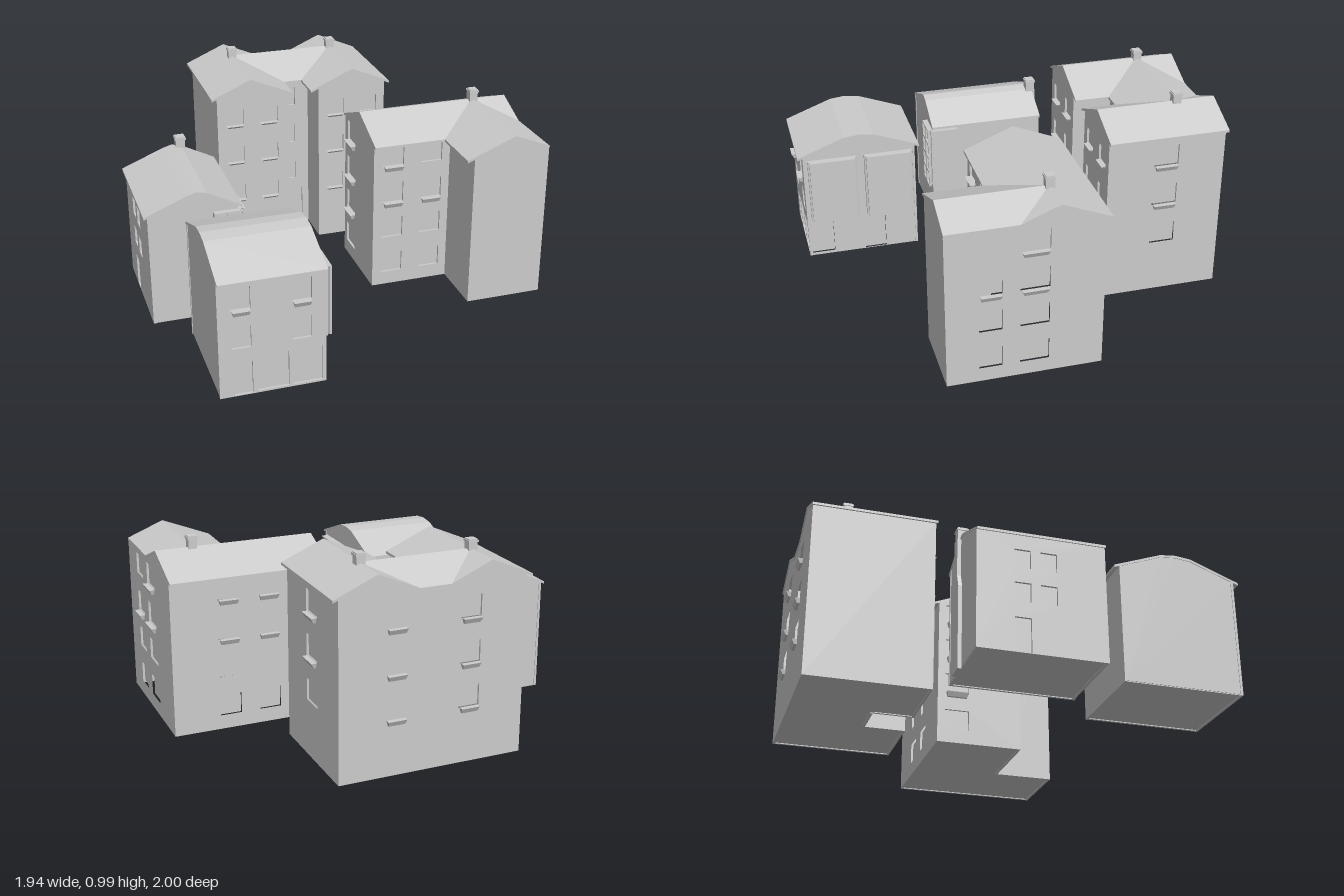
import * as THREE from 'three';

const grey = new THREE.MeshStandardMaterial({ color: 0xcccccc, flatShading: true });
const RECESS = 0.012;

function add(parent, name, geometry, x = 0, y = 0, z = 0) {
  const mesh = new THREE.Mesh(geometry, grey);
  mesh.name = name;
  mesh.position.set(x, y, z);
  parent.add(mesh);
  return mesh;
}

function group(parent, name) {
  const g = new THREE.Group();
  g.name = name;
  parent.add(g);
  return g;
}

const outline = (pts) => new THREE.Shape(pts.map(([a, b]) => new THREE.Vector2(a, b)));
const rectPts = (a, y, w, h) => [[a - w / 2, y], [a + w / 2, y], [a + w / 2, y + h], [a - w / 2, y + h]];

// Columns x rows of openings; sill(col, row): 0 none, 1 bracket, 2 thin ledge
function grid(cols, rows, w, h, sill = () => 0) {
  return cols.flatMap((a, i) => rows.map((y, j) => ({ a, y, w, h, sill: sill(i, j) })));
}

// Wall facing '+z', '+x', '-z' or '-x' at a world coordinate, with recessed openings.
// Outline points are [coordinate along the wall, height].
const TURN = { '+z': 0, '+x': Math.PI / 2, '-z': Math.PI, '-x': -Math.PI / 2 };
function wall(parent, name, facing, at, pts, openings = []) {
  const s = facing === '+z' || facing === '-x' ? 1 : -1;
  const d = facing[0] === '+' ? at : -at;
  const flip = (list) => list.map(([a, y]) => [s * a, y]);
  const g = group(parent, name);
  g.rotation.y = TURN[facing];
  const shape = outline(flip(pts));
  const rects = openings.map((o) => flip(rectPts(o.a, o.y, o.w, o.h)));
  shape.holes = rects.map(outline);
  add(g, 'wallPanel', new THREE.ExtrudeGeometry(shape, { depth: RECESS, bevelEnabled: false }), 0, 0, d - RECESS);
  // panes behind the openings (extruded, so their winding is always right)
  if (rects.length) {
    const panes = new THREE.ExtrudeGeometry(rects.map(outline), { depth: 0.003, bevelEnabled: false });
    add(g, 'panes', panes, 0, 0, d - RECESS - 0.002);
  }
  for (const o of openings) {
    if (!o.sill) continue;
    const h = o.sill === 1 ? 0.024 : 0.01;
    const out = o.sill === 1 ? 0.025 : 0.018;
    const geo = new THREE.BoxGeometry(o.w * 0.9, h, out).translate(0, -h / 2, out / 2);
    const p = geo.attributes.position;
    for (let i = 0; i < p.count; i++) {
      if (p.getY(i) < -h / 2) p.setXYZ(i, p.getX(i) * 0.88, p.getY(i), p.getZ(i) * 0.5);
    }
    add(g, 'windowSill', geo, s * o.a, o.y, d);
  }
  return g;
}

// Thin roof slabs, one per polygon of [x, z] with height(x, z)
function roof(parent, polygons, height, t = 0.012) {
  const pos = [];
  for (const poly of polygons) {
    let area = 0;
    poly.forEach(([x, z], i) => {
      const [x2, z2] = poly[(i + 1) % poly.length];
      area += x * z2 - x2 * z;
    });
    const top = (area > 0 ? [...poly].reverse() : poly).map(([x, z]) => [x, height(x, z), z]);
    const low = top.map(([x, y, z]) => [x, y - t, z]);
    const tri = (...v) => v.forEach((q) => pos.push(...q));
    for (let i = 1; i < top.length - 1; i++) {
      tri(top[0], top[i], top[i + 1]);
      tri(low[0], low[i + 1], low[i]);
    }
    top.forEach((a, i) => {
      const j = (i + 1) % top.length;
      tri(a, low[i], low[j]);
      tri(a, low[j], top[j]);
    });
  }
  const geo = new THREE.BufferGeometry();
  geo.setAttribute('position', new THREE.Float32BufferAttribute(pos, 3));
  geo.computeVertexNormals();
  add(parent, 'roof', geo);
}

function floor(parent, pts) {
  add(parent, 'floor', new THREE.ShapeGeometry(outline(pts)).rotateX(Math.PI / 2), 0, 0.004, 0);
}

// Square stack with a slightly wider cap
function chimney(parent, x, z, y0, y1, w = 0.042) {
  add(parent, 'chimney', new THREE.BoxGeometry(w, y1 - y0, w), x, (y0 + y1) / 2, z);
  add(parent, 'chimneyCap', new THREE.BoxGeometry(w + 0.008, 0.01, w + 0.008), x, y1 - 0.01, z);
}

// Glazed bay face: frame with a grid of panes
function bayFace(parent, facing, at, a0, a1, y0, y1, nc, nr) {
  const cw = (a1 - a0) / nc, rh = (y1 - y0) / nr, bar = 0.012;
  const cols = Array.from({ length: nc }, (_, i) => a0 + cw * (i + 0.5));
  const rows = Array.from({ length: nr }, (_, j) => y0 + rh * j + bar / 2);
  wall(parent, 'bayFrame', facing, at, [[a0, y0], [a1, y0], [a1, y1], [a0, y1]], grid(cols, rows, cw - bar, rh - bar));
}

// Bay body from a plan of [x, z]
function bayBody(parent, plan, y0, y1) {
  const geo = new THREE.ExtrudeGeometry(outline(plan), { depth: y1 - y0, bevelEnabled: false });
  add(parent, 'bayBody', geo.rotateX(Math.PI / 2), 0, y1, 0);
}

// Height along a profile of [coordinate, y]
function along(profile, a) {
  const i = Math.max(1, profile.findIndex(([p]) => p >= a));
  const [a0, y0] = profile[i - 1], [a1, y1] = profile[i];
  return y0 + ((y1 - y0) * (a - a0)) / (a1 - a0);
}
const under = 0.005;

function courtyardBlock(root) {
  const g = group(root, 'courtyardBlock');
  g.position.x = -0.013;
  const R = 0.943, k = 0.43, rx = 0.273, zr = -0.78, f = -0.38, b = -0.977;
  const h = (x, z) => {
    const wing = Math.abs(Math.abs(x) - rx);
    return R - k * (Math.abs(x) < rx ? Math.min(wing, Math.abs(z - zr)) : wing);
  };
  const half = [
    [[0.479, f], [rx, f], [rx, b], [0.479, b]],
    [[rx, f], [0.047, f], [0.047, -0.554], [rx, zr]],
    [[rx, zr], [rx - 0.197, b], [rx, b]],
  ];
  const mirrored = half.map((p) => p.map(([x, z]) => [-x, z]));
  roof(g, [...half, ...mirrored,
    [[-rx, zr], [-0.047, -0.554], [0.047, -0.554], [rx, zr]],
    [[-rx, zr], [rx, zr], [rx - 0.197, b], [-rx + 0.197, b]]], h);
  const W = 0.452, n = 0.09, zf = -0.383, zb = -0.972, zn = -0.58, side = 0.862, inner = 0.859;
  for (const s of [-1, 1]) {
    wall(g, 'wingFront', '+z', zf, [[s * n, 0], [s * W, 0], [s * W, side], [s * rx, R - under], [s * n, inner]],
      grid([s * 0.18, s * 0.36], [0.7, 0.495, 0.28], 0.095, 0.085, () => 2));
    wall(g, 'courtSide', s < 0 ? '+x' : '-x', s * n, [[zn, 0], [zf, 0], [zf, inner], [zn, inner]]);
    wall(g, 'sideWall', s < 0 ? '-x' : '+x', s * W, [[zb, 0], [zf, 0], [zf, side], [zb, side]],
      s > 0 ? grid([-0.675], [0.695, 0.485, 0.27], 0.125, 0.105, (i, j) => (j < 2 ? 1 : 0)) : []);
    chimney(g, s * rx, zr, 0.9, 0.988);
  }
  wall(g, 'courtBack', '+z', zn, [[-n, 0], [n, 0], [n, 0.852], [-n, 0.852]],
    [...grid([0], [0.7, 0.485, 0.27], 0.036, 0.1), { a: 0, y: 0.004, w: 0.11, h: 0.205 }]);
  wall(g, 'backWall', '-z', zb, [[-W, 0], [W, 0], [W, side], [rx, R - under], [0.081, 0.855], [-0.081, 0.855],
    [-rx, R - under], [-W, side]], grid([-0.18, 0.18], [0.692, 0.48, 0.27], 0.1, 0.1, () => 1));
  floor(g, [[-W, zb], [W, zb], [W, zf], [n, zf], [n, zn], [-n, zn], [-n, zf], [-W, zf]]);
}

function cornerBlock(root) {
  const g = group(root, 'cornerBlock');
  const R = 0.86, k = 0.4, rx = 0.766, rz = 0.01, x0 = 0.164, x1 = 0.947, f = 0.53, b = -0.228;
  const h = (x, z) => R - k * (z > rz ? Math.min(z - rz, Math.abs(x - rx)) : rz - z);
  roof(g, [
    [[x0, b], [x1, b], [x1, rz], [x0, rz]],
    [[x0, rz], [rx, rz], [0.524, 0.252], [x0, 0.252]],
    [[rx, rz], [rx, f], [0.524, f], [0.524, 0.252]],
    [[rx, rz], [x1, 0.191], [x1, f], [rx, f]],
    [[rx, rz], [x1, rz], [x1, 0.191]]], h);
  const wx = 0.56, wz = 0.235, zb = -0.2, xe = 0.945, top = 0.766, wing = 0.772, T = R - under;
  const rows = [0.65, 0.455, 0.265, 0.07];
  wall(g, 'mainFront', '+z', wz, [[x0, 0], [wx, 0], [wx, top], [x0, top]],
    grid([0.265, 0.465], rows, 0.108, 0.104, (i, j) => (j === 1 || (j === 0 && i === 0) ? 1 : 0)));
  wall(g, 'wingInnerSide', '-x', wx, [[wz, 0], [f, 0], [f, wing], [wz, wing]]);
  wall(g, 'wingFront', '+z', f, [[wx, 0], [xe, 0], [xe, 0.782], [rx, T], [wx, wing]]);
  wall(g, 'rightSide', '+x', xe, [[zb, 0], [f, 0], [f, 0.782], [0.191, 0.782], [rz, T], [zb, 0.77]],
    [...grid([0.325], rows, 0.108, 0.104, (i, j) => (j === 1 ? 1 : 0)),
      ...grid([0.122], rows, 0.136, 0.104, (i, j) => (j < 2 ? 1 : 0))]);
  wall(g, 'backWall', '-z', zb, [[x0, 0], [xe, 0], [xe, 0.77], [x0, 0.77]],
    grid([0.465, 0.665], rows, 0.105, 0.104, (i, j) => (j < 2 ? 1 : 0)));
  wall(g, 'leftSide', '-x', x0, [[zb, 0], [wz, 0], [wz, top], [rz, T], [zb, 0.77]],
    grid([-0.1], rows, 0.125, 0.104, (i, j) => (j < 3 ? 1 : 0)));
  floor(g, [[x0, zb], [xe, zb], [xe, f], [wx, f], [wx, wz], [x0, wz]]);
  chimney(g, 0.768, 0.012, 0.82, 0.915);
}

function cottage(root) {
  const g = group(root, 'cottage');
  const prof = [[-0.974, 0.565], [-0.77, 0.648], [-0.72, 0.663], [-0.67, 0.652], [-0.503, 0.567]];
  const f = 0.265, b = -0.328, xl = -0.957, xr = -0.525;
  roof(g, prof.slice(1).map(([x], i) => [[prof[i][0], f], [x, f], [x, b], [prof[i][0], b]]), (x) => along(prof, x));
  const y = (x) => along(prof, x) - under;
  const gable = [[xl, 0], [xr, 0], [xr, y(xr)], ...prof.slice(1, 4).reverse().map(([x]) => [x, y(x)]), [xl, y(xl)]];
  wall(g, 'frontWall', '+z', f - 0.003, gable);
  wall(g, 'backWall', '-z', b + 0.003, gable);
  const side = (x) => [[b, 0], [f, 0], [f, y(x)], [b, y(x)]];
  wall(g, 'rightSide', '+x', xr, side(xr),
    [...grid([-0.12], [0.42, 0.25, 0.07], 0.085, 0.095), ...grid([0.03], [0.42, 0.25], 0.085, 0.095),
      { a: 0.03, y: 0.004, w: 0.08, h: 0.16 }]);
  wall(g, 'leftSide', '-x', xl, side(xl),
    [...grid([-0.12, 0], [0.4, 0.24], 0.075, 0.09), { a: -0.12, y: 0.004, w: 0.075, h: 0.16 }]);
  floor(g, [[xl, b], [xr, b], [xr, f], [xl, f]]);
  // chimney breast climbing the back wall
  const c = -0.678;
  const breast = outline([[c - 0.046, 0], [c + 0.046, 0], [c + 0.046, 0.4], [c + 0.024, 0.46], [c + 0.024, 0.65],
    [c - 0.024, 0.65], [c - 0.024, 0.46], [c - 0.046, 0.4]]);
  add(g, 'chimneyBreast', new THREE.ExtrudeGeometry(breast, { depth: 0.02, bevelEnabled: false }), 0, 0, -0.343);
  chimney(g, c, -0.317, 0.6, 0.71, 0.046);
  // glazed corner bay
  bayBody(g, [[-0.645, 0.2], [-0.645, 0.278], [-0.52, 0.278], [-0.502, 0.26], [-0.502, 0.13], [-0.56, 0.13]], 0.215, 0.55);
  bayFace(g, '+z', 0.29, -0.645, -0.505, 0.215, 0.55, 2, 4);
  bayFace(g, '+x', -0.49, 0.13, 0.275, 0.215, 0.55, 2, 4);
}

function shopHouse(root) {
  const g = group(root, 'shopHouse');
  const prof = [[0.376, 0.577], [0.61, 0.664], [0.685, 0.672], [0.76, 0.664], [1, 0.575]];
  const xl = -0.8, xr = -0.316, f = 0.975, b = 0.4;
  roof(g, prof.slice(1).map(([z], i) => [[xl, prof[i][0]], [xl, z], [xr, z], [xr, prof[i][0]]]), (x, z) => along(prof, z));
  const y = (z) => along(prof, z) - under;
  const gable = [[b, 0], [f, 0], [f, y(f)], ...prof.slice(1, 4).reverse().map(([z]) => [z, y(z)]), [b, y(b)]];
  wall(g, 'frontWall', '+z', f, [[xl, 0], [xr, 0], [xr, y(f)], [xl, y(f)]],
    [...grid([-0.697, -0.425], [0.43, 0.24], 0.088, 0.108, (i, j) => (j === 0 ? 1 : 0)),
      { a: -0.692, y: 0.004, w: 0.084, h: 0.163 }, { a: -0.558, y: 0.01, w: 0.144, h: 0.175 },
      { a: -0.396, y: 0.01, w: 0.146, h: 0.175 }]);
  wall(g, 'backWall', '-z', b, [[xl, 0], [xr, 0], [xr, y(b)], [xl, y(b)]]);
  wall(g, 'leftSide', '-x', xl + 0.003, gable);
  wall(g, 'rightSide', '+x', xr - 0.003, gable,
    [{ a: 0.905, y: 0.015, w: 0.125, h: 0.172 }, { a: 0.625, y: 0.004, w: 0.112, h: 0.18 }]);
  floor(g, [[xl, b], [xr, b], [xr, f], [xl, f]]);
  // two glazed bays
  for (const z of [0.54, 0.828]) {
    const w = 0.124, e = w - 0.016, x = -0.292;
    bayBody(g, [[xr - 0.01, z - w], [x - 0.01, z - w], [x, z - e], [x, z + e], [x - 0.01, z + w], [xr - 0.01, z + w]], 0.215, 0.555);
    bayFace(g, '+x', -0.28, z - w + 0.008, z + w - 0.008, 0.215, 0.555, 3, 4);
  }
}

export function createModel() {
  const root = new THREE.Group();
  root.name = 'townBlock';
  courtyardBlock(root);
  cornerBlock(root);
  cottage(root);
  shopHouse(root);
  return root;
}
